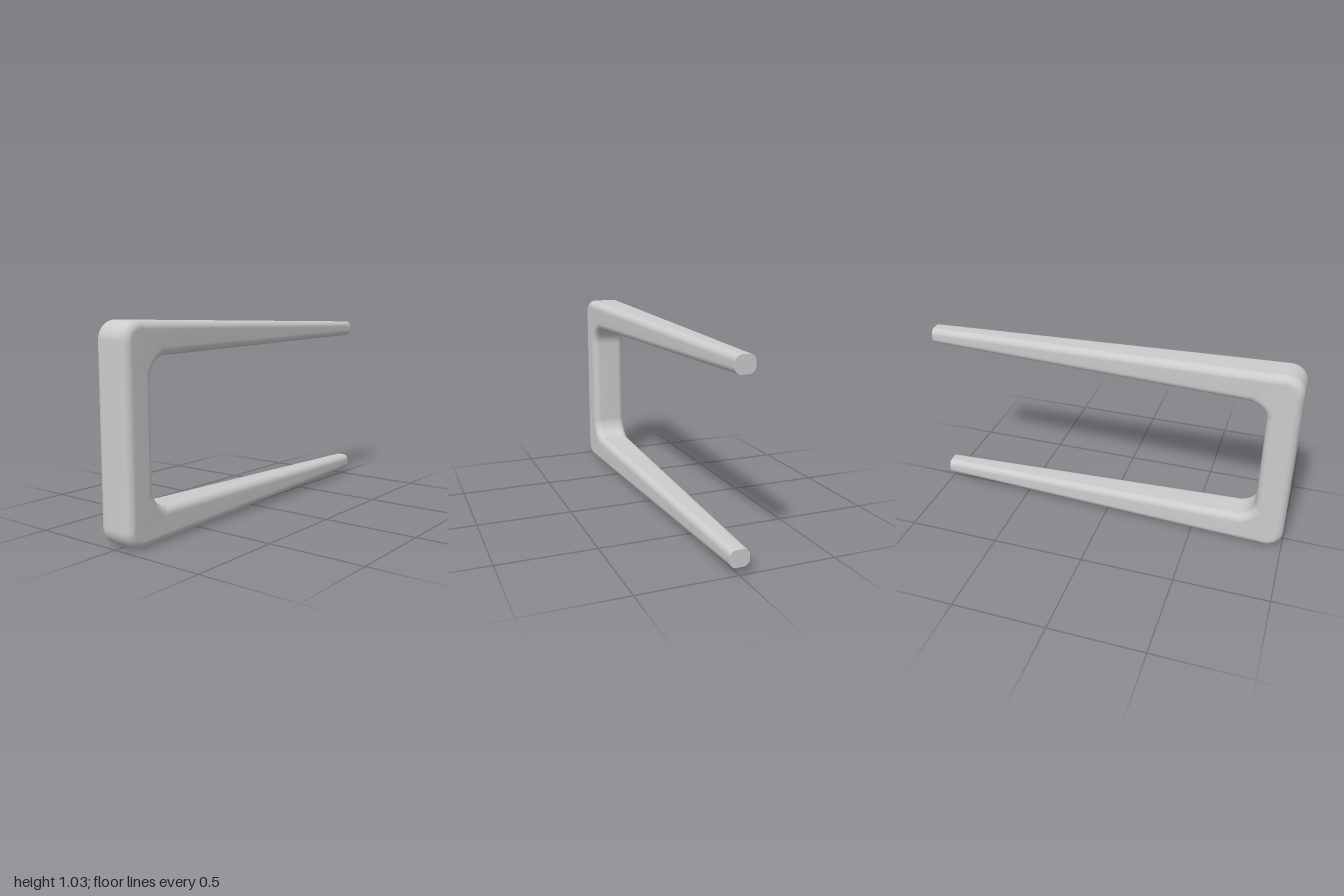
import * as THREE from 'three';

const MID_Y = 0.518;
const { lerp, clamp } = THREE.MathUtils;

// Stations along the upper half: tip, tapering arm, rounded elbow.
// Each has an outer and an inner point (z, height above mid) and an outward direction.
function upperStations() {
  const list = [];
  const elbow = (a) => ({
    outer: [0.91 + 0.09 * Math.cos(a), 0.427 + 0.09 * Math.sin(a)],
    inner: [0.73 + 0.105 * Math.cos(a), 0.247 + 0.105 * Math.sin(a)],
    normal: [Math.cos(a), Math.sin(a)],
  });
  const start = elbow(Math.PI / 2);
  const tip = { outer: [-1, 0.478], inner: [-1, 0.392] };
  const mix = (p, q, t) => [lerp(p[0], q[0], t), lerp(p[1], q[1], t)];
  for (let i = 0; i < 8; i++) {
    const t = i / 8;
    list.push({
      outer: mix(tip.outer, start.outer, t),
      inner: mix(tip.inner, start.inner, t),
      normal: [0, 1],
    });
  }
  for (let i = 0; i <= 10; i++) list.push(elbow((Math.PI / 2) * (1 - i / 10)));
  return list;
}

// Rounded-rectangle section, counter-clockwise, spanning from inner to outer point.
function sectionRing({ outer, inner, normal }) {
  const dz = outer[0] - inner[0];
  const dy = outer[1] - inner[1];
  const depth = Math.abs(dz * normal[0] + dy * normal[1]);
  const ring = [];
  const corners = [[1, 1], [-1, 1], [-1, -1], [1, -1]];
  corners.forEach(([sx, sv], c) => {
    for (let k = 0; k <= 6; k++) {
      const a = (c + k / 6) * Math.PI / 2;
      const zRef = (sv > 0 ? outer : inner)[0];
      const taper = clamp((zRef + 1) / 1.87, 0, 1);
      const half = lerp(0.05, 0.1, taper);
      const r = lerp(0.032, 0.041, taper);
      const x = sx * (half - r) + r * Math.cos(a);
      const v = 0.5 + (sv * (depth / 2 - r) + r * Math.sin(a)) / depth;
      ring.push([x, MID_Y + inner[1] + dy * v, inner[0] + dz * v]);
    }
  });
  return ring;
}

function makeGeometry(points, index) {
  const geometry = new THREE.BufferGeometry();
  geometry.setAttribute('position', new THREE.Float32BufferAttribute(points.flat(), 3));
  geometry.setIndex(index);
  geometry.computeVertexNormals();
  return geometry;
}

// Skin consecutive rings with shared vertices for smooth shading.
function loft(rings) {
  const n = rings[0].length;
  const index = [];
  for (let i = 0; i < rings.length - 1; i++) {
    for (let j = 0; j < n; j++) {
      const a = i * n + j;
      const b = i * n + (j + 1) % n;
      index.push(a, b, a + n, b, b + n, a + n);
    }
  }
  return makeGeometry(rings.flat(), index);
}

// Flat end face.
function cap(ring, reversed) {
  const index = [];
  for (let j = 1; j < ring.length - 1; j++) {
    index.push(0, ...(reversed ? [j + 1, j] : [j, j + 1]));
  }
  return makeGeometry(ring, index);
}

export function createModel() {
  const group = new THREE.Group();
  group.name = 'prongedHandle';
  const material = new THREE.MeshStandardMaterial({ color: 0xcccccc });
  const add = (name, geometry) => {
    const mesh = new THREE.Mesh(geometry, material);
    mesh.name = name;
    group.add(mesh);
  };

  // One continuous bar: upper arm, front post, lower arm
  const upper = upperStations();
  const flip = ([z, y]) => [z, -y];
  const lower = upper.map((s) => ({
    outer: flip(s.outer), inner: flip(s.inner), normal: flip(s.normal),
  })).reverse();
  const rings = [...upper, ...lower].map(sectionRing);
  add('bentBar', loft(rings));

  // Flat tips of the arms
  add('upperTip', cap(rings[0], true));
  add('lowerTip', cap(rings[rings.length - 1], false));
  return group;
}
